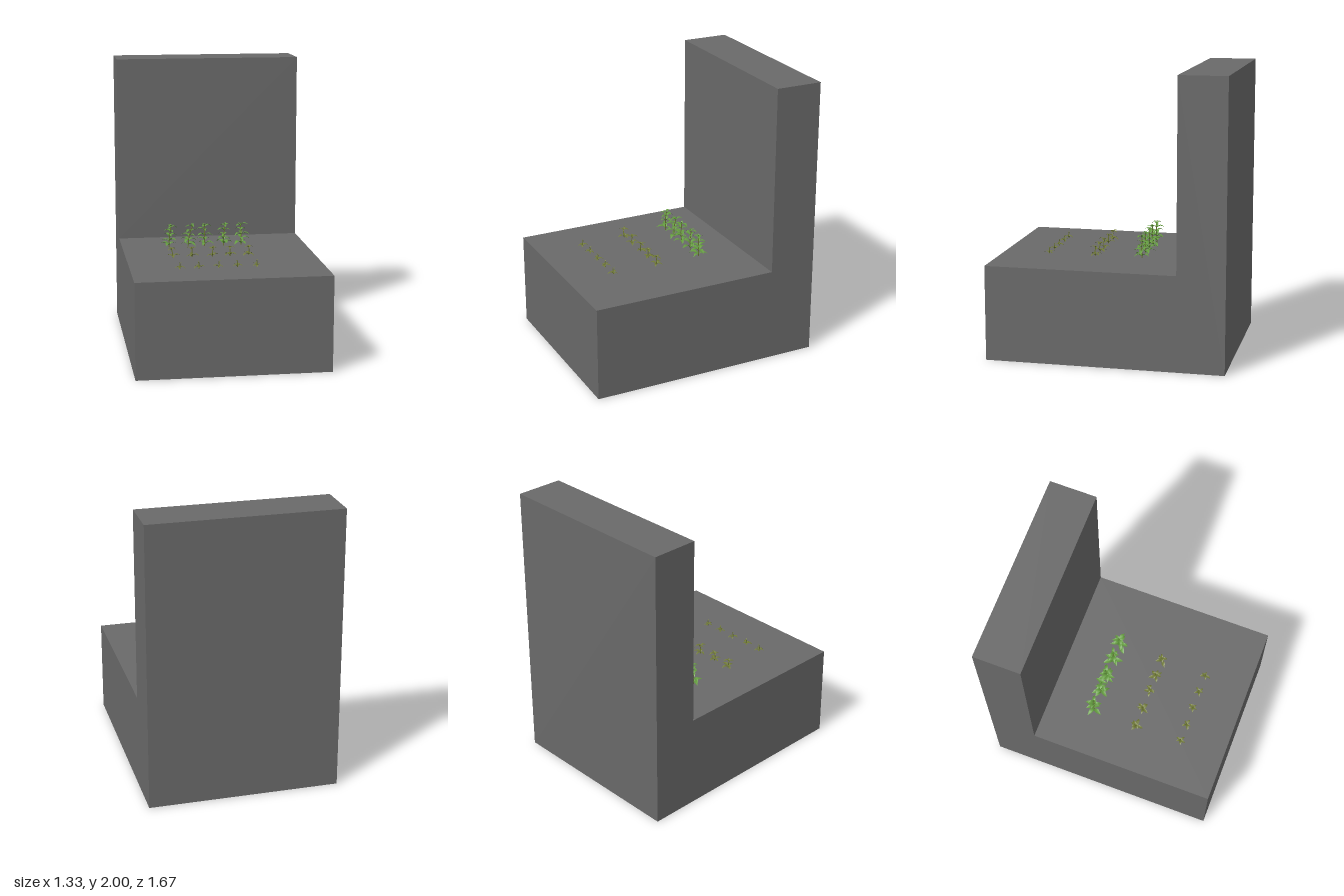
import * as THREE from 'three';
import { mergeGeometries } from 'three/addons/utils/BufferGeometryUtils.js';

const stone = new THREE.MeshStandardMaterial({ color: 0x696969 });
stone.name = 'grey block';
const green = new THREE.MeshStandardMaterial({ color: 0x649c3f, side: THREE.DoubleSide });
green.name = 'leaf green';
const olive = new THREE.MeshStandardMaterial({ color: 0x707a36, side: THREE.DoubleSide });
olive.name = 'olive green';

const GROUND = 0.667;

// Small seeded generator for natural variation
function seeded(seed) {
  return () => {
    seed = (seed * 16807) % 2147483647;
    return seed / 2147483647;
  };
}

// Leaf along +z: cross-sections of left edge, midrib and right edge, folded and drooping
function leafGeometry(length, width) {
  const halfWidths = [0.08, 0.38, 0.5, 0.36, 0.02];
  const positions = [], indices = [];
  halfWidths.forEach((h, i) => {
    const t = i / (halfWidths.length - 1);
    const y = length * (0.22 * Math.sin(t * Math.PI) - 0.12 * t * t);
    const w = h * width;
    positions.push(-w, y + w * 0.35, t * length, 0, y, t * length, w, y + w * 0.35, t * length);
    if (i === 0) return;
    for (let k = 0; k < 2; k++) {
      const a = (i - 1) * 3 + k, b = a + 3;
      indices.push(a, b, a + 1, a + 1, b, b + 1);
    }
  });
  const g = new THREE.BufferGeometry();
  g.setAttribute('position', new THREE.Float32BufferAttribute(positions, 3));
  g.setIndex(indices);
  g.computeVertexNormals();
  return g;
}

// Plant: gently leaning stem carrying tiers of leaves
function createPlant(name, { height, tiers, perTier, leaf, lean, material }, seed) {
  const rand = seeded(seed);
  for (let i = 0; i < 5; i++) rand();
  const group = new THREE.Group();
  group.name = name;
  const path = new THREE.CatmullRomCurve3([
    new THREE.Vector3(0, 0, 0),
    new THREE.Vector3(lean * 0.2, height * 0.5, 0.003),
    new THREE.Vector3(lean, height, 0),
  ]);
  const stem = new THREE.Mesh(new THREE.TubeGeometry(path, 6, 0.0035, 5), olive);
  stem.name = 'stem';
  group.add(stem);

  const leaves = [];
  for (let i = 0; i < tiers; i++) {
    const t = tiers === 1 ? 0.15 : 0.08 + 0.87 * i / (tiers - 1);
    const base = path.getPoint(t);
    for (let k = 0; k < perTier; k++) {
      const size = leaf * (0.75 + 0.45 * rand()) * (1 - 0.25 * t);
      const yaw = i * 1.1 + (k + 0.5 * rand()) * Math.PI * 2 / perTier + seed;
      const pitch = -0.05 - 0.35 * rand();
      leaves.push(leafGeometry(size, size * 0.46)
        .rotateX(pitch).rotateY(yaw).translate(base.x, base.y, base.z));
    }
  }
  // Upright bud leaves at the tip
  const tip = path.getPoint(1);
  for (let k = 0; k < 2; k++) {
    leaves.push(leafGeometry(leaf * 0.45, leaf * 0.2)
      .rotateX(-0.9).rotateY(seed + k * Math.PI).translate(tip.x, tip.y - 0.004, tip.z));
  }
  const foliage = new THREE.Mesh(mergeGeometries(leaves), material);
  foliage.name = 'leaves';
  group.add(foliage);
  return group;
}

export function createModel() {
  const model = new THREE.Group();
  model.name = 'planterBlock';

  // L-shaped block: side profile (z, y) extruded across x
  const profile = new THREE.Shape([
    [-0.833, 0], [0.833, 0], [0.833, GROUND], [-0.5, GROUND], [-0.5, 2], [-0.833, 2],
  ].map(([z, y]) => new THREE.Vector2(-z, y)));
  const blockGeometry = new THREE.ExtrudeGeometry(profile, { depth: 1.334, bevelEnabled: false })
    .translate(0, 0, -0.667).rotateY(Math.PI / 2);
  const block = new THREE.Mesh(blockGeometry, stone);
  block.name = 'block';
  model.add(block);

  // Three rows of plants, from seedlings at the front to tall ones at the back
  const rows = [
    { name: 'seedling', z: 0.5, xs: [-0.33, -0.2, -0.06, 0.065, 0.2], height: 0.038,
      tiers: 1, perTier: 5, leaf: 0.04, material: olive, leans: [0, 0, 0, 0, 0] },
    { name: 'youngPlant', z: 0.165, xs: [-0.34, -0.205, -0.06, 0.065, 0.2], height: 0.06,
      tiers: 2, perTier: 4, leaf: 0.05, material: olive, leans: [-0.01, 0, 0.005, 0, 0] },
    { name: 'tallPlant', z: -0.17, xs: [-0.33, -0.19, -0.07, 0.07, 0.2], height: 0.15,
      tiers: 5, perTier: 3, leaf: 0.066, material: green, leans: [0.015, 0.03, 0, 0.01, -0.005] },
  ];
  rows.forEach((row, r) => {
    row.xs.forEach((x, i) => {
      const plant = createPlant(row.name + (i + 1), { ...row, lean: row.leans[i] }, 11 + r * 37 + i * 5);
      plant.position.set(x, GROUND, row.z);
      model.add(plant);
    });
  });
  return model;
}
